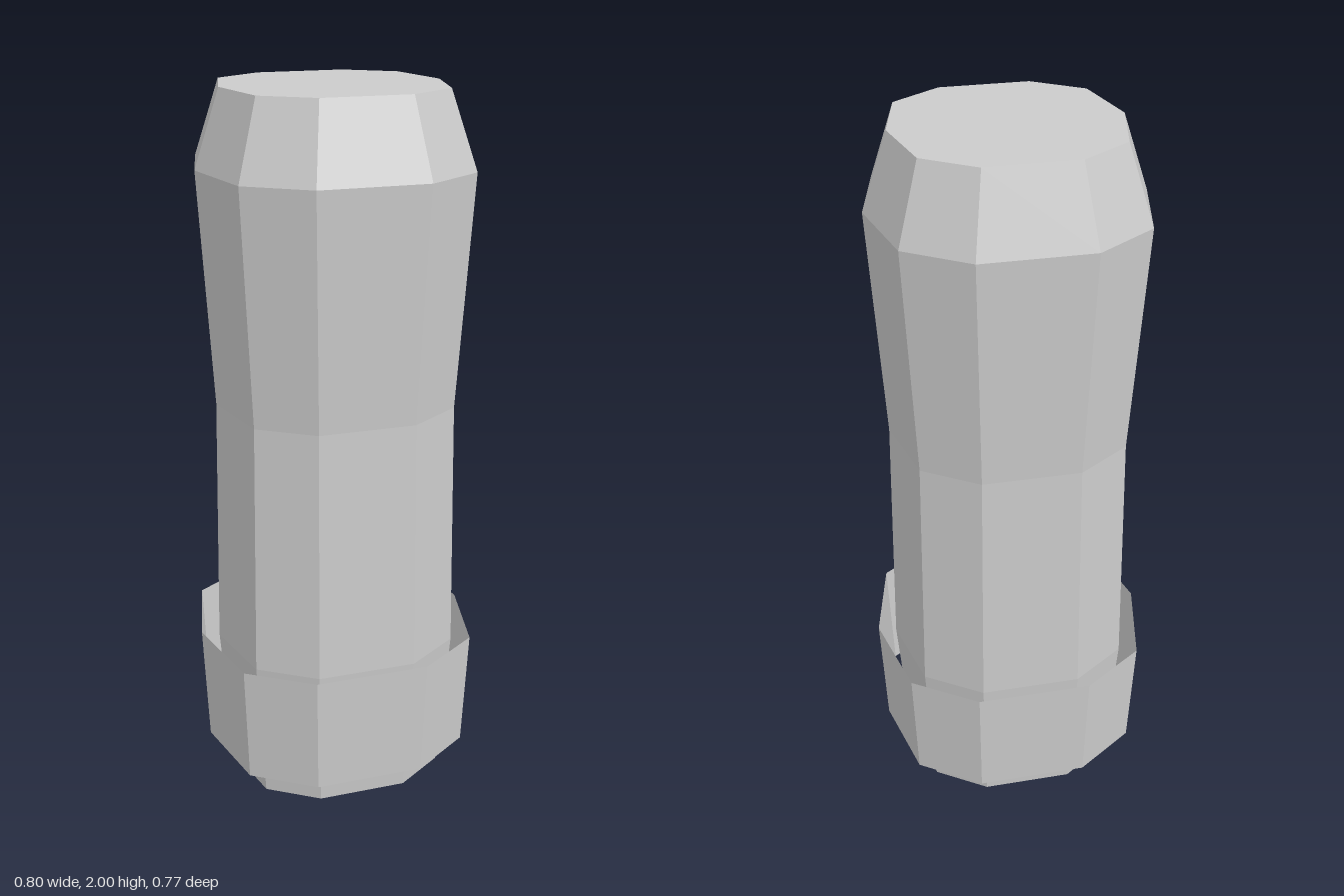
import * as THREE from 'three';

// Quarter of the ten-sided cross-section, as x and z for a half-width of 1.
const QUARTER = [[1, 0], [0.85, 0.662], [0.405, 0.962]];
const SECTION = [
  ...QUARTER,
  ...QUARTER.map(([x, z]) => [-x, z]).reverse(),
  ...QUARTER.slice(1).map(([x, z]) => [-x, -z]),
  ...QUARTER.slice(1).map(([x, z]) => [x, -z]).reverse(),
];

// Turns a [half-width, height] profile into a faceted column with that cross-section.
function facetedColumn(name, profile, side) {
  const points = profile.map(([r, y]) => new THREE.Vector2(r, y));
  const sides = SECTION.length;
  const lathe = new THREE.LatheGeometry(points, sides);
  const pos = lathe.attributes.position;
  for (let i = 0; i < pos.count; i++) {
    const [r, y] = profile[i % profile.length];
    const [x, z] = SECTION[(sides - Math.floor(i / profile.length)) % sides];
    pos.setXYZ(i, r * x, y, r * z);
  }
  const geometry = lathe.toNonIndexed();
  geometry.computeVertexNormals();
  const material = new THREE.MeshStandardMaterial({ color: 0xcccccc, flatShading: true, side });
  const mesh = new THREE.Mesh(geometry, material);
  mesh.name = name;
  return mesh;
}

export function createModel() {
  const model = new THREE.Group();
  model.name = 'grip';

  // Closed handle with a slight waist and a bevelled top.
  model.add(facetedColumn('handle', [
    [0, 0], [0.314, 0], [0.347, 0.42], [0.335, 1.14], [0.374, 1.79], [0.304, 2], [0, 2],
  ], THREE.FrontSide));

  // Thin open sleeve around the base, flaring upward.
  model.add(facetedColumn('collar', [[0.384, 0.09], [0.4, 0.435]], THREE.DoubleSide));

  return model;
}
